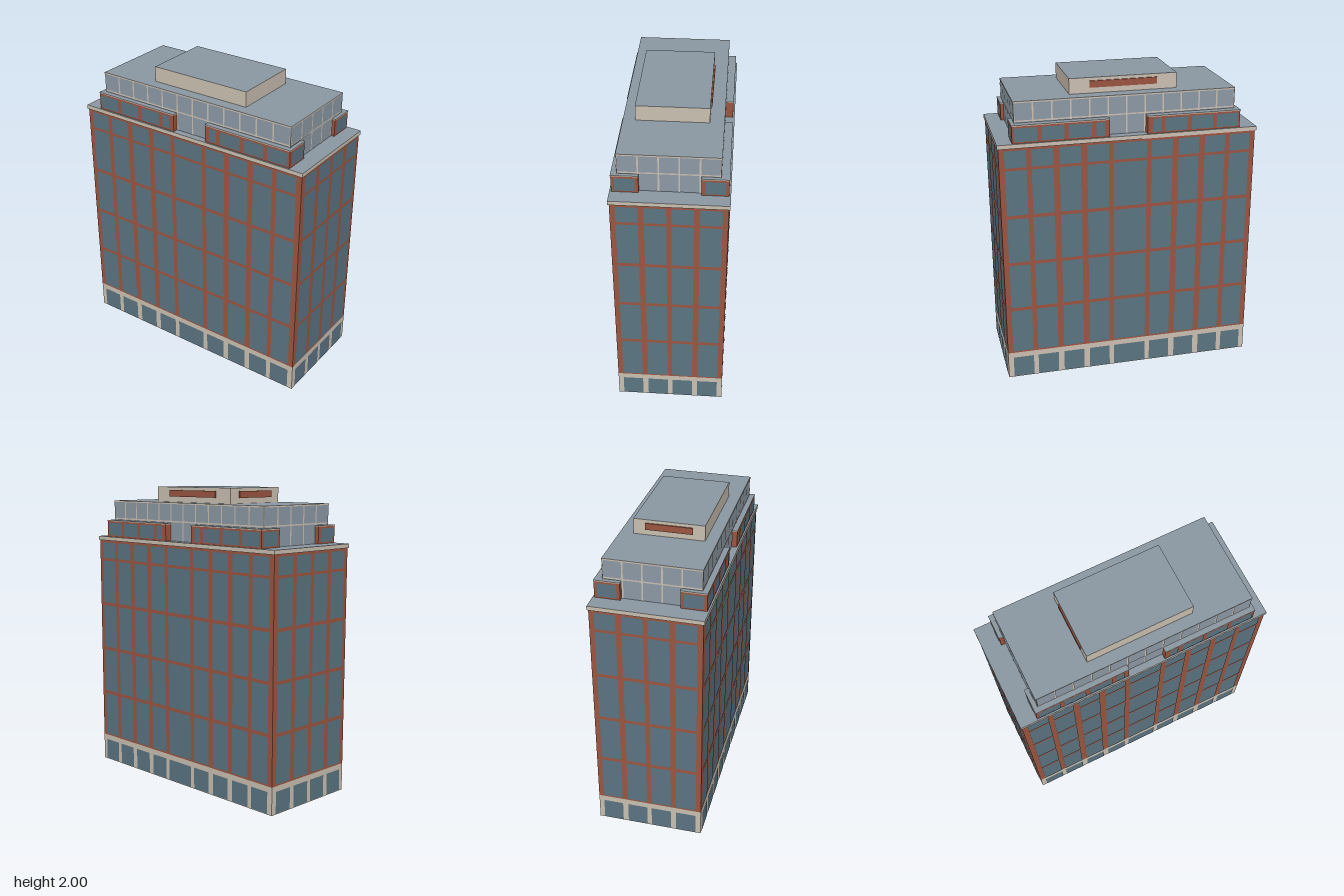
import * as THREE from 'three';
import { mergeGeometries } from 'three/addons/utils/BufferGeometryUtils.js';

const mat = (name, color, side = THREE.FrontSide) => {
  const m = new THREE.MeshStandardMaterial({ color, side });
  m.name = name;
  return m;
};

export function createModel() {
  const model = new THREE.Group();
  model.name = 'officeTower';
  const brick = mat('brick', 0x9b5540, THREE.DoubleSide);
  const stone = mat('stone', 0xcbc0b2, THREE.DoubleSide);
  const glass = mat('windowGlass', 0x5b7482);
  const paleGlass = mat('penthouseGlass', 0x8c99a5);
  const roof = mat('roof', 0x8b98a2);

  const add = (name, geometry, material, parent = model) => {
    const mesh = new THREE.Mesh(geometry, material);
    mesh.name = name;
    parent.add(mesh);
    return mesh;
  };

  // Box given by its limits; the top face can have its own material
  const block = (name, [x0, x1], [y0, y1], [z0, z1], side, top = side, parent = model) => {
    const g = new THREE.BoxGeometry(x1 - x0, y1 - y0, z1 - z0);
    g.translate((x0 + x1) / 2, (y0 + y1) / 2, (z0 + z1) / 2);
    return add(name, g, top === side ? side : [side, side, top, side, side, side], parent);
  };

  // Four walls without floor or ceiling
  const walls = (name, hx, hz, y0, y1, material) => {
    const g = new THREE.BoxGeometry(hx * 2, y1 - y0, hz * 2).translate(0, (y0 + y1) / 2, 0);
    const index = Array.from(g.index.array);
    g.setIndex([...index.slice(0, 12), ...index.slice(24)]);
    g.clearGroups();
    add(name, g, material);
  };

  // Flat pane on a wall: u runs along the wall, d is the wall's distance from the axis
  const pane = (angle, d, u0, u1, y0, y1) =>
    new THREE.PlaneGeometry(u1 - u0, y1 - y0)
      .translate((u0 + u1) / 2, (y0 + y1) / 2, d)
      .rotateY(angle);

  // Column limits as [centre, width], mirrored about the middle
  const mirrored = (cols) => cols.flatMap(([c, w]) =>
    (c ? [c, -c] : [0]).map((s) => [s - w / 2, s + w / 2]));

  const HX = 0.349, HZ = 0.838, LIFT = 0.003;
  const shortCols = mirrored([[0.249, 0.132], [0.081, 0.133]]);
  const longCols = mirrored([[0.734, 0.137], [0.565, 0.138], [0.388, 0.138], [0.21, 0.14], [0, 0.217]]);
  const rows = [[0.196, 0.499], [0.522, 0.827], [0.849, 1.152], [1.175, 1.475], [1.493, 1.605]];

  // Main shell
  walls('stoneBase', HX, HZ, 0, 0.184, stone);
  walls('brickTower', HX, HZ, 0.184, 1.62, brick);

  // Windows on all four sides
  const towerPanes = [], basePanes = [];
  for (let i = 0; i < 4; i++) {
    const long = i % 2 === 1;
    const d = (long ? HX : HZ) + LIFT;
    for (const [u0, u1] of long ? longCols : shortCols) {
      basePanes.push(pane(i * Math.PI / 2, d, u0, u1, 0.006, 0.149));
      for (const [y0, y1] of rows) towerPanes.push(pane(i * Math.PI / 2, d, u0, u1, y0, y1));
    }
  }
  add('towerWindows', mergeGeometries(towerPanes), glass);
  add('baseWindows', mergeGeometries(basePanes), glass);

  // Cornice with the main roof on top
  block('cornice', [-0.357, 0.357], [1.62, 1.647], [-0.845, 0.845], stone, roof);

  // Four brick corner blocks around the setback
  const setback = new THREE.Group();
  setback.name = 'cornerBlocks';
  setback.position.z = 0.009;
  model.add(setback);
  const blockPanes = [];
  for (const sx of [-1, 1]) for (const sz of [-1, 1]) {
    const span = (s, a, b) => (s > 0 ? [a, b] : [-b, -a]);
    block('cornerBlock', span(sx, 0.184, 0.346), [1.647, 1.757], span(sz, 0.123, 0.74), brick, brick, setback);
    block('cornerBlockCap', span(sx, 0.183, 0.348), [1.757, 1.764], span(sz, 0.122, 0.742), stone, roof, setback);
    // outer long side, then the end facing front or back
    for (const [a, b] of [[0.582, 0.726], [0.413, 0.556], [0.238, 0.386], [0.157, 0.211]]) {
      const [u0, u1] = span(-sx * sz, a, b);
      blockPanes.push(pane(sx * Math.PI / 2, 0.346 + LIFT, u0, u1, 1.658, 1.746));
    }
    const [e0, e1] = span(sx * sz, 0.205, 0.327);
    blockPanes.push(pane(sz > 0 ? 0 : Math.PI, 0.74 + LIFT, e0, e1, 1.658, 1.746));
  }
  add('cornerBlockWindows', mergeGeometries(blockPanes), glass, setback);

  // Glazed penthouse with mullions, rail and rim
  const penthouse = new THREE.Group();
  penthouse.name = 'penthouse';
  penthouse.position.set(-0.007, 0, 0.012);
  model.add(penthouse);
  const px = 0.304, pz = 0.715;
  block('penthouseGlazing', [-px, px], [1.647, 1.89], [-pz, pz], paleGlass, paleGlass, penthouse);
  block('penthouseRim', [-px - 0.003, px + 0.003], [1.89, 1.9], [-pz - 0.003, pz + 0.003], stone, roof, penthouse);
  const bars = [];
  for (let i = 0; i < 4; i++) {
    const long = i % 2 === 1;
    const d = (long ? px : pz) + LIFT, half = long ? pz : px, n = long ? 12 : 5;
    for (let k = 0; k <= n; k++) {
      const u = -half + (2 * half * k) / n;
      bars.push(pane(i * Math.PI / 2, d, Math.max(u - 0.005, -half), Math.min(u + 0.005, half), 1.647, 1.89));
    }
    bars.push(pane(i * Math.PI / 2, d + 0.0005, -half, half, 1.771, 1.78));
  }
  add('penthouseMullions', mergeGeometries(bars), stone, penthouse);

  // Plant room with brick panels on its left side and back
  block('plantRoom', [-0.238, 0.212], [1.9, 2], [-0.338, 0.362], stone, roof);
  block('sidePanel', [0.212, 0.22], [1.936, 1.979], [-0.206, 0.231], brick);
  block('backPanel', [-0.163, 0.137], [1.936, 1.979], [-0.346, -0.338], brick);

  return model;
}
